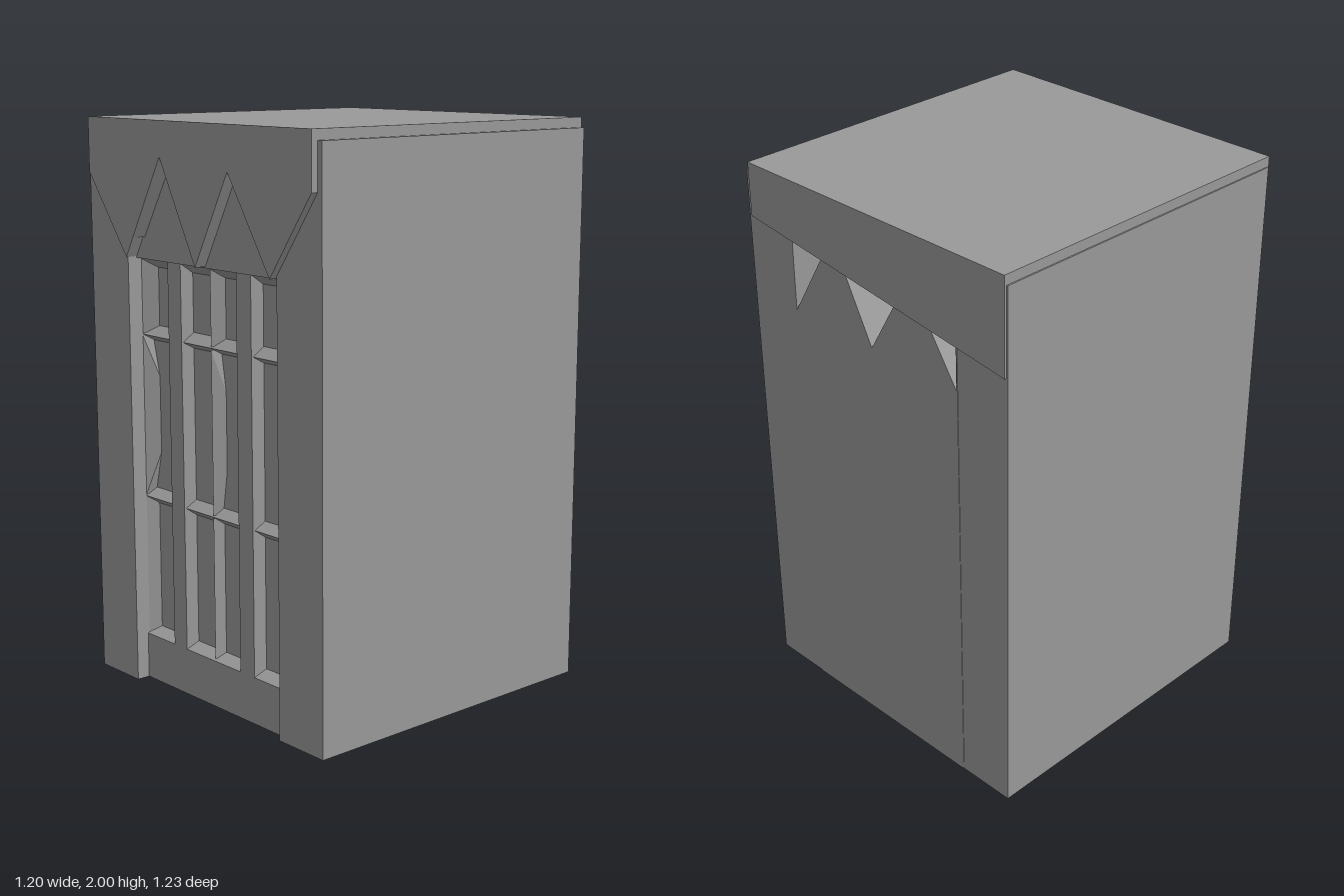
import * as THREE from 'three';
import { ConvexGeometry } from 'three/addons/geometries/ConvexGeometry.js';

export function createModel() {
  const group = new THREE.Group();
  const stone = new THREE.MeshStandardMaterial({ color: 0x999999 });
  stone.name = 'grey';

  const add = (name, geometry) => {
    const mesh = new THREE.Mesh(geometry, stone);
    mesh.name = name;
    group.add(mesh);
    return mesh;
  };
  const box = (name, x0, x1, y0, y1, z0, z1) =>
    add(name, new THREE.BoxGeometry(x1 - x0, y1 - y0, z1 - z0)
      .translate((x0 + x1) / 2, (y0 + y1) / 2, (z0 + z1) / 2));
  const outline = (pts) => new THREE.Shape(pts.map(([x, y]) => new THREE.Vector2(x, y)));
  const extrude = (shape, depth) =>
    new THREE.ExtrudeGeometry(shape, { depth, bevelEnabled: false });
  // Plate outlined in x, y
  const plate = (name, pts, z0, z1, holes = []) => {
    const shape = outline(pts);
    shape.holes = holes.map(outline);
    return add(name, extrude(shape, z1 - z0).translate(0, 0, z0));
  };
  // Horizontal bar with a z, y section
  const rail = (name, x0, x1, pts) =>
    add(name, extrude(outline(pts.map(([z, y]) => [-z, y])), x1 - x0)
      .rotateY(Math.PI / 2).translate(x0, 0, 0));
  // Vertical bar with an x, z section
  const post = (name, y0, y1, pts) =>
    add(name, extrude(outline(pts.map(([x, z]) => [x, -z])), y1 - y0)
      .rotateX(-Math.PI / 2).translate(0, y0, 0));
  const hull = (name, pts) =>
    add(name, new ConvexGeometry(pts.map((p) => new THREE.Vector3(...p))));

  const PANE = 0.51, DOOR = 0.56, W = 0.385;

  // Walls and roof
  box('leftWall', W, 0.6, 0, 1.965, -0.606, 0.59);
  box('rightWall', -0.6, -W, 0, 1.965, -0.606, 0.608);
  box('core', -W, W, 0, 1.965, -0.3, PANE);
  box('roof', -0.595, 0.58, 1.965, 2, -0.615, 0.615);

  // Back wall with three triangular openings under a slanted band
  plate('backWall', [[-W, 0], [W, 0], [W, 1.965], [-W, 1.965]], -0.608, -0.3, [
    [[0.382, 1.785], [0.24, 1.764], [0.382, 1.53]],
    [[0.123, 1.752], [-0.107, 1.723], [0.008, 1.53]],
    [[-0.27, 1.7], [-0.381, 1.686], [-0.381, 1.53]],
  ]);
  plate('backBand', [[-0.595, 1.66], [0.58, 1.81], [0.58, 1.98], [-0.595, 1.98]], -0.615, -0.606);

  // Front band with two pointed arches
  plate('frontBand', [
    [-0.595, 2], [-0.595, 1.81], [-W, 1.53], [-0.185, 1.88], [0, 1.53],
    [0.175, 1.85], [0.38, 1.53], [0.58, 1.81], [0.58, 2],
  ], 0.55, 0.615);
  const reveal = (a, b, a2, b2) => hull('archReveal', [
    [...a, 0.613], [...b, 0.613], [...a, 0.56], [...b, 0.56], [...a2, 0.57], [...b2, 0.57],
  ]);
  reveal([-0.185, 1.88], [0, 1.53], [-0.19, 1.84], [-0.03, 1.53]);
  reveal([-0.185, 1.88], [-0.345, 1.6], [-0.19, 1.84], [-0.335, 1.6]);
  reveal([0.175, 1.85], [0.38, 1.53], [0.158, 1.815], [0.335, 1.53]);

  // Door frame
  box('header', -W, W, 1.525, 1.965, 0.5, 0.572);
  box('sill', -W, W, 0, 0.165, 0.5, DOOR);
  rail('sillBevel', -W, W, [[0.5, 0.16], [DOOR, 0.165], [PANE, 0.185], [0.5, 0.185]]);
  rail('lintelBevel', -W, W, [[0.5, 1.53], [DOOR, 1.525], [PANE, 1.49], [0.5, 1.49]]);

  // Ridged crossbars
  for (const [low, mid, high] of [[0.645, 0.675, 0.7], [1.232, 1.256, 1.286]]) {
    rail('crossbar', -W, W, [[0.5, low], [PANE, low], [0.553, mid], [PANE, high], [0.5, high]]);
  }

  // Flat-faced mullions
  for (const [x0, x1] of [[-0.225, -0.153], [0.145, 0.22]]) {
    post('mullion', 0.165, 1.525,
      [[x0 - 0.003, 0.5], [x0, DOOR], [x1, DOOR], [x1 + 0.003, 0.5]]);
  }

  // Ridges at the centre and jambs: plain at top and bottom, swelling in the middle
  for (const [x, top, middle, bottom] of [
    [-W, 0.045, 0.04, 0.02], [0, 0.03, 0.026, 0.007], [W, 0.045, 0.022, 0.02],
  ]) {
    const section = (w) => [[x - w, PANE - 0.005], [x, 0.553], [x + w, PANE - 0.005]];
    // Jamb ridges sink into the walls beside them
    post('upperRidge', 1.26, 1.52, section(top));
    post('lowerRidge', 0.17, 0.67, section(bottom));
    const swell = [[x, 0.68, 0.553], [x, 1.25, 0.553], [x, 0.68, PANE - 0.005], [x, 1.25, PANE - 0.005]];
    for (const s of [-1, 1]) {
      for (const y of [0.85, 1.09]) swell.push([x + s * middle, y, PANE - 0.005]);
    }
    hull('middleRidge', swell);
  }

  return group;
}
